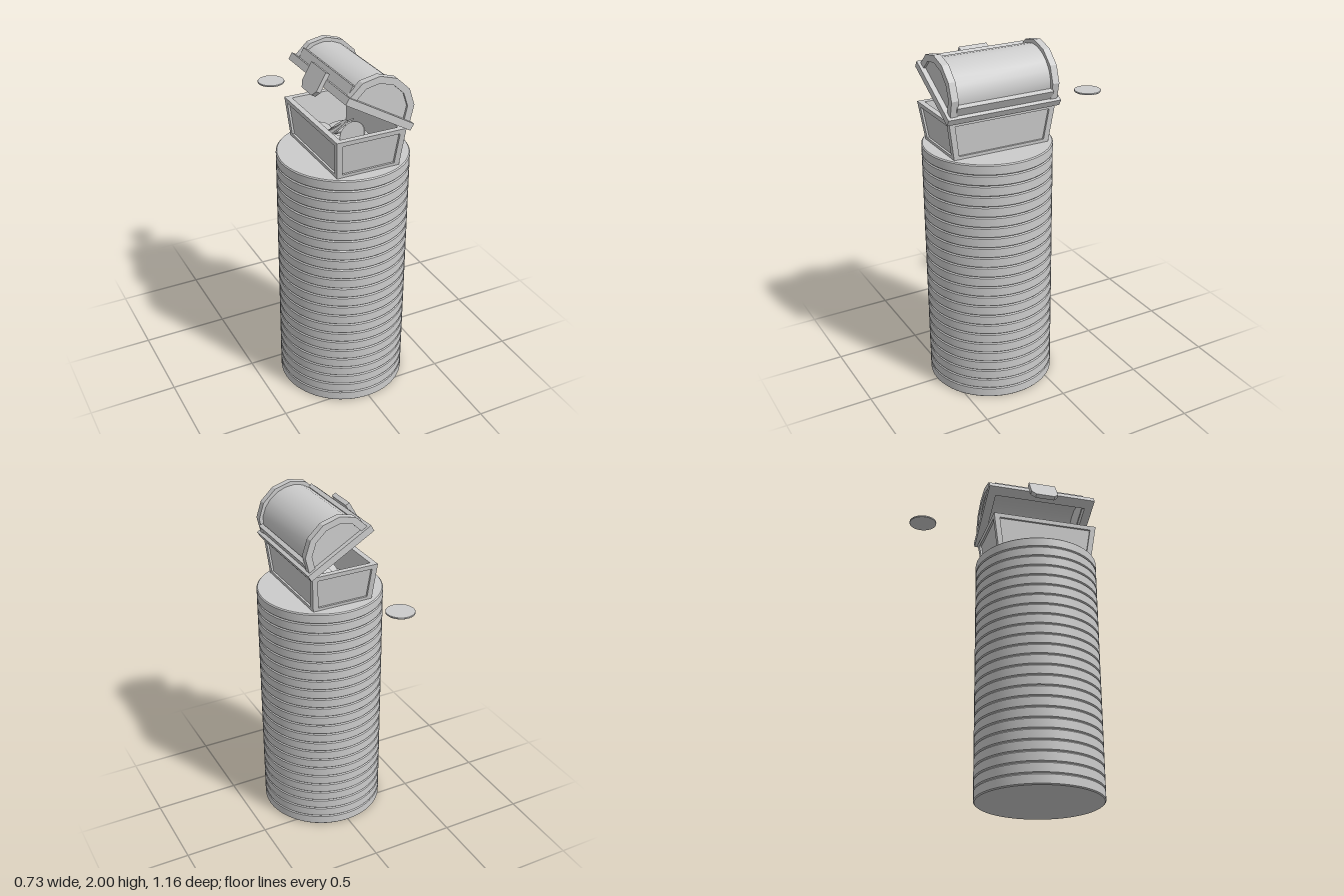
import * as THREE from 'three';
import { toCreasedNormals } from 'three/addons/utils/BufferGeometryUtils.js';

const material = new THREE.MeshStandardMaterial({ color: 0xcccccc });
const flat = new THREE.MeshStandardMaterial({ color: 0xcccccc, flatShading: true });

function add(parent, name, geometry, mat = flat) {
  const mesh = new THREE.Mesh(geometry, mat);
  mesh.name = name;
  parent.add(mesh);
  return mesh;
}

const polygon = (points) => points.map(([x, y]) => new THREE.Vector2(x, y));

// Extrude an outline, with an optional hole, from z0 to z1
function slab(outline, z0, z1, hole) {
  const shape = new THREE.Shape(polygon(outline));
  if (hole) shape.holes.push(new THREE.Path(polygon(hole)));
  const g = new THREE.ExtrudeGeometry(shape, { depth: z1 - z0, bevelEnabled: false });
  return g.translate(0, 0, z0);
}

// Disc with bevelled rim, standing on y = 0
function coinGeometry(radius, height, bevel, segments) {
  const profile = polygon([
    [0, 0], [radius - bevel, 0], [radius, bevel],
    [radius, height - bevel], [radius - bevel, height], [0, height],
  ]);
  return toCreasedNormals(new THREE.LatheGeometry(profile, segments), 0.5);
}

// Upper half of an ellipse, sprung from height n0
function arc(a, h, segments, n0 = 0.04) {
  return Array.from({ length: segments + 1 }, (_, i) => {
    const t = (Math.PI * i) / segments;
    return [a * Math.cos(t), n0 + h * Math.sin(t)];
  });
}

// Half-ring outline between two arcs
const archOutline = (a, h, a2, h2, n) => [...arc(a, h, n), ...arc(a2, h2, n).reverse()];

const rect = (x, y) => [[-x, -y], [x, -y], [x, y], [-x, y]];

// Sloping chest wall: raised frame round a recessed panel
function chestWall(parent, name, bottomHalf, topHalf, bottomOut, topOut, angle) {
  const height = 0.22;
  const wall = new THREE.Group();
  wall.name = name;
  wall.rotation.y = angle;
  parent.add(wall);
  const border = 0.027;
  const outer = [[-bottomHalf, 0], [bottomHalf, 0], [topHalf, height], [-topHalf, height]];
  const inner = [
    [-bottomHalf + border, 0.018], [bottomHalf - border, 0.018],
    [topHalf - border - 0.003, height - 0.026], [-topHalf + border + 0.003, height - 0.026],
  ];
  const lean = (g) => {
    const p = g.attributes.position;
    for (let i = 0; i < p.count; i++) {
      const k = p.getY(i) / height;
      p.setZ(i, p.getZ(i) + bottomOut + (topOut - bottomOut) * k);
    }
    g.computeVertexNormals();
    return g;
  };
  add(wall, 'wallFrame', lean(slab(outer, -0.032, 0, inner)));
  add(wall, 'wallPanel', lean(slab(inner, -0.032, -0.012)));
}

function createChestBase() {
  const base = new THREE.Group();
  base.name = 'chestBase';
  const bx = 0.182, tx = 0.2, bz = 0.286, tz = 0.318;
  for (const s of [0, 1]) {
    chestWall(base, s ? 'backWall' : 'frontWall', bx, tx, bz, tz, s * Math.PI);
    chestWall(base, s ? 'latchSideWall' : 'hingeSideWall', bz, tz, bx, tx, Math.PI / 2 + s * Math.PI);
  }
  add(base, 'chestFloor', new THREE.BoxGeometry(0.34, 0.015, 0.55)).position.y = 0.0085;

  // Coins heaped inside: x, y, z, tilt about x, tilt about z
  const heap = [
    [-0.07, 0.05, -0.17, 0.1, 0.1], [0.06, 0.05, -0.15, -0.1, 0.15],
    [-0.06, 0.05, 0.0, 0.15, -0.1], [0.06, 0.06, 0.02, 0.1, 0.2],
    [-0.06, 0.05, 0.17, -0.15, 0.1], [0.06, 0.05, 0.17, 0.1, -0.15],
    [-0.03, 0.11, -0.03, -0.5, 0.45], [0.01, 0.12, 0.09, 0.3, 0.8],
    [0.03, 0.1, -0.08, -0.6, 0.2],
  ];
  const geometry = coinGeometry(0.078, 0.01, 0.002, 32);
  for (const [x, y, z, rx, rz] of heap) {
    const coin = add(base, 'chestCoin', geometry, material);
    coin.position.set(x, y, z);
    coin.rotation.set(rx, 0, rz);
  }
  return base;
}

function createLid() {
  const lid = new THREE.Group();
  lid.name = 'chestLid';

  // Rim round the opening
  const rim = slab(rect(0.217, 0.335), 0, 0.04, rect(0.157, 0.285));
  add(lid, 'lidRim', rim.rotateX(-Math.PI / 2));

  // Rounded roof between the end bands
  const roof = slab(archOutline(0.178, 0.154, 0.155, 0.132, 10), -0.28, 0.28);
  add(lid, 'lidRoof', toCreasedNormals(roof, 0.5), material);

  for (const s of [-1, 1]) {
    // Faceted band and recessed end panel
    const band = slab(archOutline(0.2, 0.178, 0.16, 0.14, 6), -0.02, 0.02);
    add(lid, 'lidBand', band).position.z = s * 0.298;
    const panel = slab(arc(0.165, 0.145, 6), -0.013, 0.013);
    add(lid, 'lidEndPanel', panel).position.z = s * 0.293;
    // Straight rail along the foot of the roof
    const rail = add(lid, 'lidRail', new THREE.BoxGeometry(0.025, 0.055, 0.57));
    rail.position.set(s * 0.183, 0.067, 0);
  }

  // Latch plate with clipped lower corners
  const plate = [
    [-0.058, -0.066], [0.058, -0.066], [0.084, -0.035],
    [0.084, 0.073], [-0.084, 0.073], [-0.084, -0.035],
  ];
  const latch = add(lid, 'latch', slab(plate, 0, 0.026));
  latch.rotation.y = -Math.PI / 2;
  latch.position.x = -0.214;
  return lid;
}

export function createModel() {
  const model = new THREE.Group();
  model.name = 'treasureChestOnCoinStack';

  // Tall stack of big coins
  const count = 24;
  const height = 1.46 / count;
  const stack = new THREE.Group();
  stack.name = 'coinStack';
  stack.position.z = 0.215;
  const bigCoin = coinGeometry(0.363, height, 0.006, 64);
  for (let i = 0; i < count; i++) {
    add(stack, 'stackCoin', bigCoin, material).position.y = i * height;
  }
  model.add(stack);

  // Open chest on top
  const base = createChestBase();
  base.position.set(0, 1.46, 0.219);
  const lid = createLid();
  lid.position.set(0.025, 1.78, 0.219);
  lid.rotation.z = -Math.PI / 6;
  model.add(base, lid);

  // Single coin in the air behind
  const loose = add(model, 'looseCoin', coinGeometry(0.078, 0.009, 0.001, 48), material);
  loose.position.set(-0.104, 1.593, -0.505);
  return model;
}
